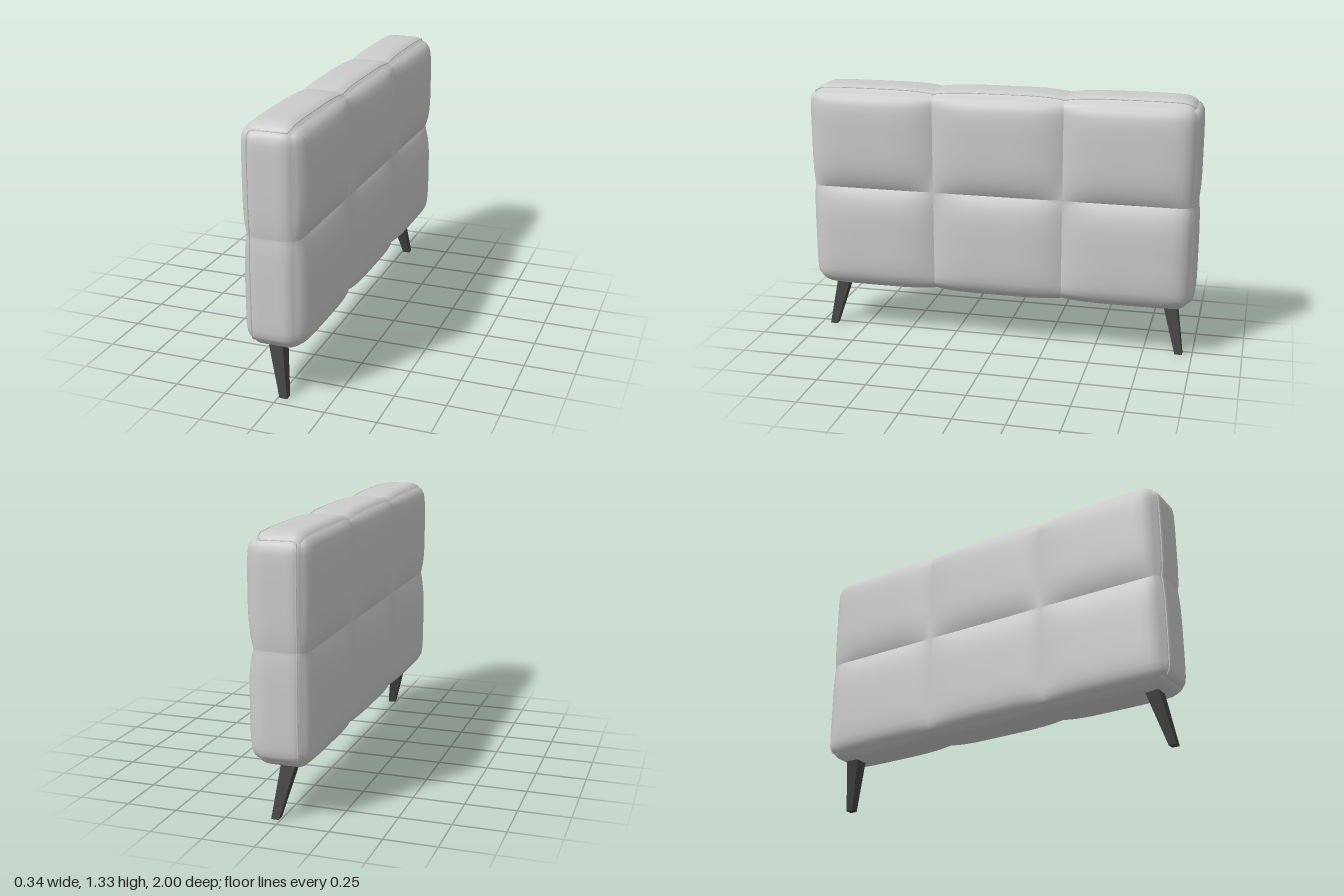
import * as THREE from 'three';
import { toCreasedNormals } from 'three/addons/utils/BufferGeometryUtils.js';

const BOTTOM = 0.25, SEAM = 0.798, TOP = 1.325;   // heights of the padded panel
const X0 = -0.17, X1 = 0.165;                     // thickness of the panel
const EDGE = 0.08, R_BACK = 0.07, R_FACE = 0.1;   // corner radii

const ease = s => Math.sin(s * Math.PI / 2);      // crowds grid lines towards the seams
const clamp = THREE.MathUtils.clamp;

// Position inside a pad, -1..1 from seam to seam
const padY = y => y < SEAM
  ? (2 * (y - BOTTOM)) / (SEAM - BOTTOM) - 1
  : (2 * (y - SEAM)) / (TOP - SEAM) - 1;
const padZ = z => {
  const i = clamp(Math.floor((z + 1) * 1.5), 0, 2);
  return (z + 1) * 3 - 2 * i - 1;
};

// Turns a point on the plain block into a point on the rounded, tufted cushion
function upholster(p) {
  const sy = padY(p.y) ** 4, sz = padZ(p.z) ** 4;
  const up = p.y > SEAM ? (p.y - SEAM) / (TOP - SEAM) : (p.y - SEAM) / (SEAM - BOTTOM);
  const end = p.z;

  // rounded outer edges
  const c = new THREE.Vector3(
    clamp(p.x, X0 + R_BACK, X1 - R_FACE),
    clamp(p.y, BOTTOM + EDGE, TOP - EDGE),
    clamp(p.z, -1 + EDGE, 1 - EDGE));
  const r = new THREE.Vector3(p.x > c.x ? R_FACE : R_BACK, EDGE, EDGE);
  const d = p.clone().sub(c).divide(r).normalize().multiply(r);
  const q = c.add(d);

  // pads thin out towards every seam
  const pinch = 1 - (1 - sy) * (1 - sz);
  q.x *= 1 - (q.x > 0 ? 0.25 : 0.18) * pinch;
  q.y -= Math.sign(up) * 0.015 * sz * up ** 8;
  q.z -= Math.sign(end) * 0.009 * sy * end ** 8;
  return q;
}

function cushionGeometry() {
  const n = 18;
  const g = new THREE.BoxGeometry(2, 2, 2, 14, 2 * n, 3 * n);
  const pos = g.attributes.position;
  const p = new THREE.Vector3();
  for (let i = 0; i < pos.count; i++) {
    p.fromBufferAttribute(pos, i);
    p.x = (X0 + X1) / 2 + ease(p.x) * (X1 - X0) / 2;
    // two pads high
    const row = p.y < 0 ? 0 : 1;
    const v = (ease(2 * (p.y + 1 - row) - 1) + 1) / 2;
    p.y = row ? SEAM + v * (TOP - SEAM) : BOTTOM + v * (SEAM - BOTTOM);
    // three pads long
    const t = (p.z + 1) * 1.5;
    const col = clamp(Math.floor(t + 1e-6), 0, 2);
    p.z = -1 + (col + (ease(2 * (t - col) - 1) + 1) / 2) * 2 / 3;
    const q = upholster(p);
    pos.setXYZ(i, q.x, q.y, q.z);
  }
  g.deleteAttribute('uv');
  return toCreasedNormals(g, 0.5);
}

// Piping up one end, across its top edge, along the top and down the other end
function pipingGeometry() {
  const corners = [
    [-0.13, BOTTOM + 0.02, 1], [-0.13, TOP - 0.03, 1], [-0.105, TOP, 1],
    [0.11, TOP, 1], [0.125, TOP, 0.97],
    [0.125, TOP, -0.97], [0.11, TOP, -1], [-0.105, TOP, -1],
    [-0.13, TOP - 0.03, -1], [-0.13, BOTTOM + 0.02, -1]
  ].map(a => new THREE.Vector3(...a));
  const path = [];
  for (let i = 0; i < corners.length - 1; i++) {
    const steps = Math.max(2, Math.ceil(corners[i].distanceTo(corners[i + 1]) / 0.03));
    for (let k = 0; k < steps; k++)
      path.push(upholster(corners[i].clone().lerp(corners[i + 1], k / steps)));
  }
  path.push(upholster(corners[corners.length - 1]));
  return new THREE.TubeGeometry(new THREE.CatmullRomCurve3(path), 260, 0.004, 6);
}

// Square tapered leg, splayed towards the end (side = +1 or -1)
function legGeometry(side) {
  const g = new THREE.BoxGeometry(1, 1, 1);
  const pos = g.attributes.position;
  for (let i = 0; i < pos.count; i++) {
    const t = pos.getY(i) + 0.5;
    const size = 0.038 + 0.036 * t;
    pos.setXYZ(i,
      0.026 - 0.058 * t + pos.getX(i) * size,
      0.29 * t,
      side * (0.932 - 0.064 * t) + pos.getZ(i) * size);
  }
  g.computeVertexNormals();
  return g;
}

export function createModel() {
  const model = new THREE.Group();
  model.name = 'paddedPanel';
  const fabric = new THREE.MeshStandardMaterial({ color: 0xcccccc });
  const wood = new THREE.MeshStandardMaterial({ color: 0x444444 });
  const add = (name, geometry, material) => {
    const mesh = new THREE.Mesh(geometry, material);
    mesh.name = name;
    model.add(mesh);
  };

  add('tuftedCushion', cushionGeometry(), fabric);
  add('piping', pipingGeometry(), fabric);
  add('frontLeg', legGeometry(1), wood);
  add('backLeg', legGeometry(-1), wood);
  return model;
}
